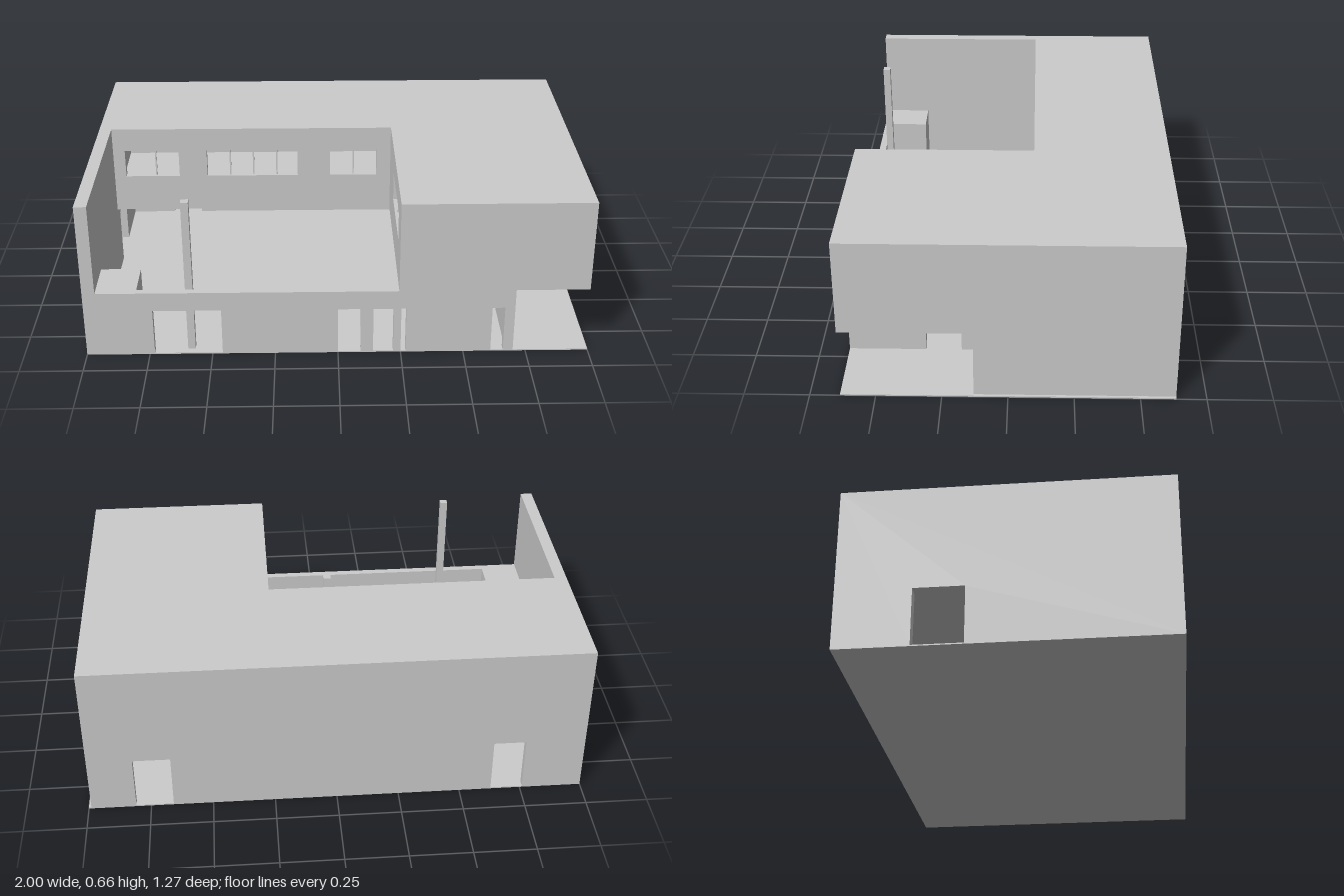
import * as THREE from 'three';

const material = new THREE.MeshStandardMaterial({ color: 0xcccccc });
const T = 0.03; // wall thickness

function rectPath(path, a, b, y0, y1) {
  path.moveTo(a, y0);
  path.lineTo(a, y1);
  path.lineTo(b, y1);
  path.lineTo(b, y0);
  path.closePath();
  return path;
}

// Wall outline from a to b; doors [a, b, top] notch the base, windows [a, b, y0, y1] are holes
function wallGeometry(a, b, y0, y1, t, doors = [], windows = []) {
  const s = new THREE.Shape();
  s.moveTo(a, y0);
  for (const [d0, d1, top] of doors) {
    s.lineTo(d0, y0);
    s.lineTo(d0, top);
    s.lineTo(d1, top);
    s.lineTo(d1, y0);
  }
  s.lineTo(b, y0);
  s.lineTo(b, y1);
  s.lineTo(a, y1);
  s.closePath();
  for (const w of windows) s.holes.push(rectPath(new THREE.Path(), ...w));
  return new THREE.ExtrudeGeometry(s, { depth: t, bevelEnabled: false });
}

export function createModel() {
  const house = new THREE.Group();
  house.name = 'house';

  const add = (name, geometry) => {
    const mesh = new THREE.Mesh(geometry, material);
    mesh.name = name;
    house.add(mesh);
    return mesh;
  };
  const box = (name, x0, x1, y0, y1, z0, z1) => add(name,
    new THREE.BoxGeometry(x1 - x0, y1 - y0, z1 - z0)
      .translate((x0 + x1) / 2, (y0 + y1) / 2, (z0 + z1) / 2));
  // Wall running along x, its front face on z
  const wallX = (name, z, a, b, y0, y1, doors, windows, t = T) =>
    add(name, wallGeometry(a, b, y0, y1, t, doors, windows).translate(0, 0, z - t));
  // Wall running along z, its +x face on x
  const wallZ = (name, x, a, b, y0, y1, doors, windows, t = T) =>
    add(name, wallGeometry(a, b, y0, y1, t, doors, windows).rotateY(-Math.PI / 2).translate(x, 0, 0));

  const back = -0.635, front = 0.635, right = 0.99, left = -0.95;
  const storey = 0.28, top = 0.66, courtZ = -0.09, courtX = 0.24;

  box('groundSlab', -1, 1, 0, 0.005, back, front);

  // Tall boundary wall with a side door
  wallZ('tallSideWall', left, back, front, 0, top, [[-0.345, -0.15, 0.235]], [], 0.05);

  // Ground floor outer walls
  wallX('backWall', back + T, left, right, 0, storey, [[-0.76, -0.63, 0.235], [0.66, 0.81, 0.235]]);
  wallZ('groundSideWall', right, back + T, 0.13, 0, storey);
  wallX('porchBackWall', 0.13, 0.7, right - T, 0, storey);
  wallZ('porchSideWall', 0.7, 0.13, front, 0, storey, [[0.19, 0.33, 0.235]]);

  // Front wall with gate, small doorways and entrance
  wallX('frontWall', front, -0.79, 0.7 - T, 0, storey,
    [[-0.73, -0.46, 0.2], [0, 0.09, 0.2], [0.14, 0.22, 0.2], [0.25, 0.27, 0.2], [0.61, 0.66, 0.2]]);
  box('frontPilaster', -0.07, -0.035, 0, storey, front - 0.06, front - T);

  // Small store block and slim post beside the gate
  box('cornerStore', left, -0.79, 0, storey, 0.44, front);
  box('gatePost', -0.6, -0.57, 0, top, 0.575, 0.605);

  // L-shaped upper floor plates
  const plan = new THREE.Shape([
    [left, back], [right, back], [right, front], [courtX, front], [courtX, courtZ], [left, courtZ],
  ].map(([x, z]) => new THREE.Vector2(x, z)));
  const plate = (name, y, depth) => add(name,
    new THREE.ExtrudeGeometry(plan, { depth, bevelEnabled: false }).rotateX(Math.PI / 2).translate(0, y, 0));
  plate('upperFloor', 0.315, 0.035);
  plate('roof', top, 0.02);

  // Upper floor walls, hollow behind the windows
  const y0 = 0.315, y1 = top - 0.02, sill = 0.44, head = 0.56;
  const courtWindows = [[-0.9, -0.67, sill, head], [-0.55, -0.16, sill, head], [-0.02, 0.18, sill, head]];
  wallX('upperBackWall', back + T, left, right, y0, y1);
  wallZ('upperSideWall', right, back + T, front, y0, y1);
  wallX('upperFrontWall', front, courtX, right - T, y0, y1);
  wallX('upperCourtWall', courtZ, left, courtX, y0, y1, [], courtWindows);
  wallZ('upperWingWall', courtX + T, courtZ, front - T, y0, y1, [], [[0.15, 0.5, sill, head]]);

  // Thin window bars
  for (const x of [-0.77, -0.45, -0.35, -0.25, 0.08])
    box('windowBar', x - 0.003, x + 0.003, sill, head, courtZ - 0.02, courtZ - 0.012);
  for (const z of [0.27, 0.385])
    box('windowBar', courtX + 0.012, courtX + 0.02, sill, head, z - 0.003, z + 0.003);

  return house;
}
